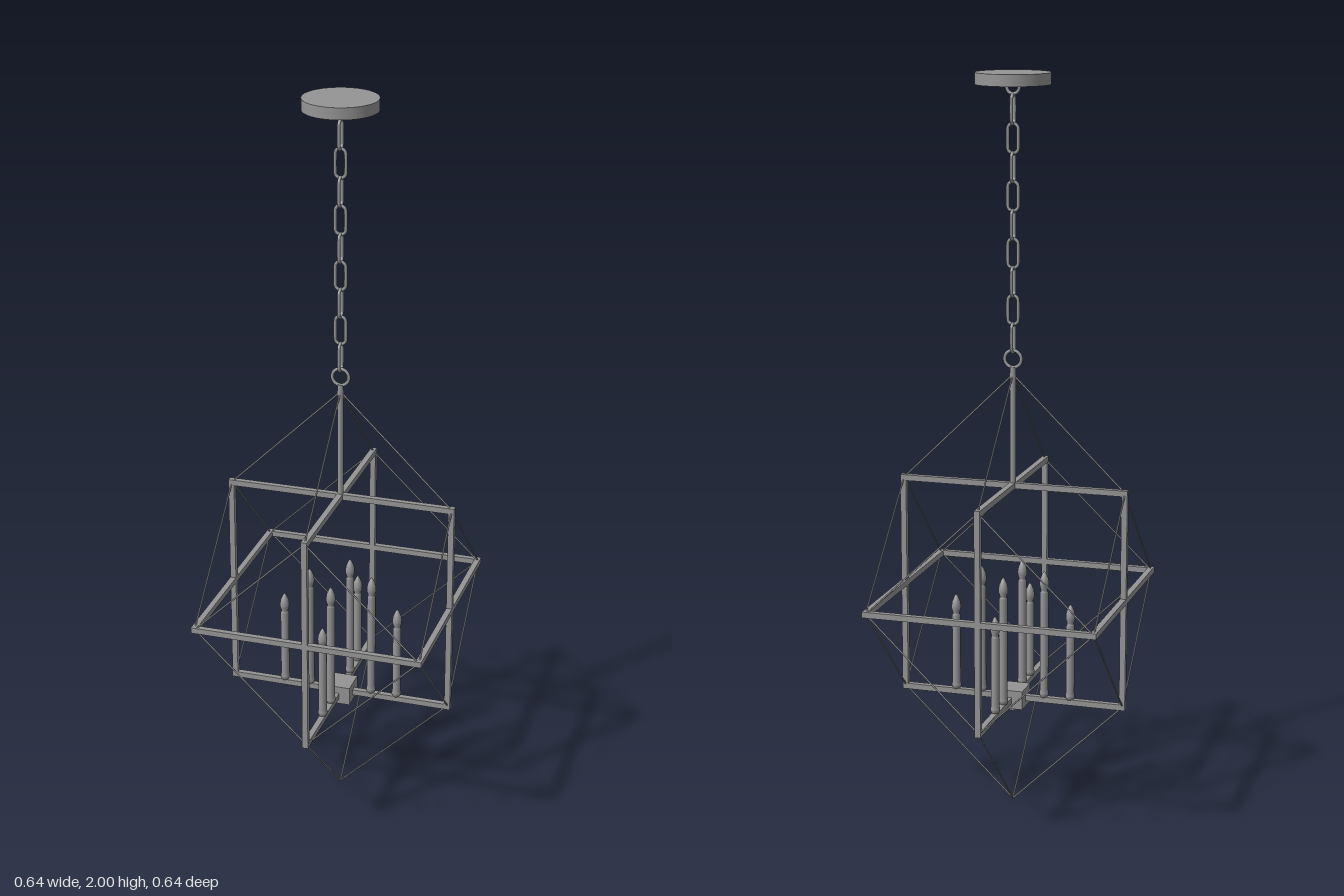
import * as THREE from 'three';

const R = 0.311;           // half width of the cage frames
const BAR = 0.016;         // square bar thickness
const Y = [0.302, 0.602, 0.901]; // lower, middle and upper bar heights
const mat = new THREE.MeshStandardMaterial({ color: 0x959595 });

function add(parent, name, geometry, x = 0, y = 0, z = 0) {
  const mesh = new THREE.Mesh(geometry, mat);
  mesh.name = name;
  mesh.position.set(x, y, z);
  parent.add(mesh);
  return mesh;
}

// Thin round wire between two points
function wire(parent, a, b) {
  const from = new THREE.Vector3(...a), to = new THREE.Vector3(...b);
  const dir = to.clone().sub(from);
  const mesh = add(parent, 'wire', new THREE.CylinderGeometry(0.0022, 0.0022, dir.length(), 8));
  mesh.position.copy(from).add(to).multiplyScalar(0.5);
  mesh.quaternion.setFromUnitVectors(new THREE.Vector3(0, 1, 0), dir.normalize());
}

// Oval chain link in the xy plane
class LinkCurve extends THREE.Curve {
  getPoint(t, target = new THREE.Vector3()) {
    const a = t * Math.PI * 2, r = 0.0145, s = Math.sin(a);
    const shift = 0.024 * THREE.MathUtils.clamp(s * 4, -1, 1);
    return target.set(r * Math.cos(a), r * s + shift, 0);
  }
}

// Candle sleeve with base cup and flame bulb, standing on y = 0
function candleGeometry(h) {
  const p = [[0, 0], [0.009, 0], [0.013, 0.008], [0.013, 0.014], [0.0115, 0.02], [0.0115, h - 0.06],
    [0.009, h - 0.058], [0.009, h - 0.053], [0.0125, h - 0.043], [0.013, h - 0.034],
    [0.011, h - 0.021], [0.005, h - 0.007], [0, h]];
  return new THREE.LatheGeometry(p.map(([x, y]) => new THREE.Vector2(x, y)), 16);
}

export function createModel() {
  const model = new THREE.Group();
  model.name = 'pendantLantern';

  // Ceiling canopy and its hook loop
  add(model, 'canopy', new THREE.CylinderGeometry(0.0995, 0.0995, 0.031, 64), 0, 1.9845, 0);
  add(model, 'canopyLoop', new THREE.TorusGeometry(0.017, 0.0045, 10, 24), 0, 1.962, 0);

  // Chain, each link turned a quarter from the last
  const chain = new THREE.Group();
  chain.name = 'chain';
  model.add(chain);
  const link = new THREE.TubeGeometry(new LinkCurve(), 48, 0.0045, 8, true);
  for (let i = 0; i < 9; i++) {
    add(chain, 'chainLink', link, 0, 1.905 - i * 0.0752, 0).rotation.y = i % 2 ? 0 : Math.PI / 2;
  }

  // Hanging ring, collar and stem
  add(model, 'hangingRing', new THREE.TorusGeometry(0.023, 0.0045, 10, 32), 0, 1.247, 0);
  add(model, 'collar', new THREE.CylinderGeometry(0.008, 0.009, 0.03, 16), 0, 1.211, 0);
  add(model, 'stem', new THREE.CylinderGeometry(0.008, 0.008, 0.3, 16), 0, 1.051, 0);

  // Two crossing upright frames
  for (let i = 0; i < 2; i++) {
    const frame = new THREE.Group();
    frame.name = 'uprightFrame';
    frame.rotation.y = i * Math.PI / 2;
    model.add(frame);
    for (const y of [Y[0], Y[2]]) {
      add(frame, 'crossBar', new THREE.BoxGeometry(2 * R + BAR, BAR, BAR), 0, y, 0);
    }
    for (const s of [-1, 1]) {
      add(frame, 'uprightBar', new THREE.BoxGeometry(BAR, Y[2] - Y[0], BAR), s * R, (Y[0] + Y[2]) / 2, 0);
    }
  }

  // Level square frame around the middle
  const square = new THREE.Group();
  square.name = 'levelFrame';
  model.add(square);
  for (const s of [-1, 1]) {
    add(square, 'levelBar', new THREE.BoxGeometry(2 * R + BAR, BAR, BAR), 0, Y[1], s * R);
    add(square, 'levelBar', new THREE.BoxGeometry(BAR, BAR, 2 * R - BAR), s * R, Y[1], 0);
  }

  // One quarter of wires and candles, repeated on all four sides
  const tall = candleGeometry(0.36), short = candleGeometry(0.273);
  for (let i = 0; i < 4; i++) {
    const side = new THREE.Group();
    side.name = 'side';
    side.rotation.y = i * Math.PI / 2;
    model.add(side);
    wire(side, [0, 1.205, 0], [0, Y[2], R]);
    wire(side, [0, 0.002, 0], [0, Y[0], R]);
    for (const s of [-1, 1]) {
      wire(side, [0, Y[2], R], [s * R, Y[1], R]);
      wire(side, [0, Y[0], R], [s * R, Y[1], R]);
    }
    add(side, 'tallCandle', tall, 0, 0.308, 0.089);
    add(side, 'shortCandle', short, 0, 0.308, 0.163);
  }

  // Hub at the crossing of the lower bars
  add(model, 'hub', new THREE.BoxGeometry(0.076, 0.052, 0.076), 0, 0.304, 0);
  add(model, 'hubNut', new THREE.CylinderGeometry(0.009, 0.009, 0.016, 16), 0, 0.271, 0);

  return model;
}
